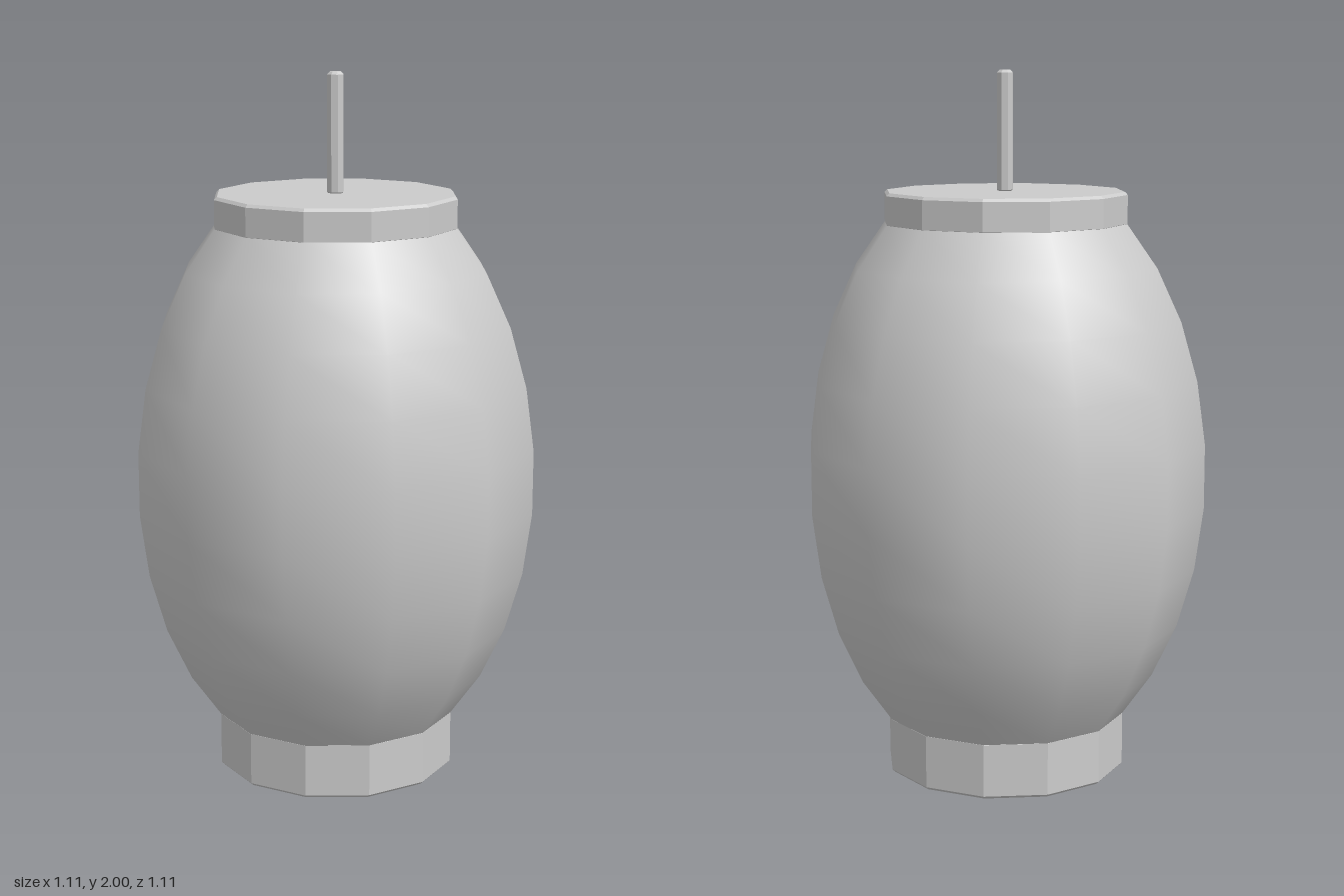
import * as THREE from 'three';

const SIDES = 12;

function addLathe(group, name, profile, sides, flat) {
  const points = profile.map(([r, y]) => new THREE.Vector2(r, y));
  const material = new THREE.MeshStandardMaterial({ color: 0xcccccc, flatShading: flat });
  const mesh = new THREE.Mesh(new THREE.LatheGeometry(points, sides), material);
  mesh.name = name;
  group.add(mesh);
}

// Closed faceted disc with a small bevel at each end
function addDisc(group, name, radius, bottom, top, bevelBottom, bevelTop, sides = SIDES) {
  addLathe(group, name, [
    [0, bottom], [radius - bevelBottom, bottom], [radius, bottom + bevelBottom],
    [radius, top - bevelTop], [radius - bevelTop, top], [0, top],
  ], sides, true);
}

export function createModel() {
  const group = new THREE.Group();
  group.name = 'lantern';

  // Barrel-shaped body: a truncated ellipsoid, smooth around its 12 sides
  const rings = 10, limit = THREE.MathUtils.degToRad(53.3);
  const profile = [];
  for (let i = 0; i < rings; i++) {
    const a = limit * (2 * i / (rings - 1) - 1);
    profile.push([0.56 * Math.cos(a), 0.897 + 0.865 * Math.sin(a)]);
  }
  addLathe(group, 'body', profile, SIDES, false);

  // Top cap, bottom collar and foot
  addDisc(group, 'topCap', 0.337, 1.588, 1.675, 0.001, 0.008);
  addDisc(group, 'bottomCollar', 0.337, 0.052, 0.207, 0.008, 0.001);
  addDisc(group, 'foot', 0.168, 0, 0.054, 0.008, 0.008);

  // Hanging rod
  addDisc(group, 'rod', 0.023, 1.67, 2, 0.008, 0.008, 8);

  return group;
}
